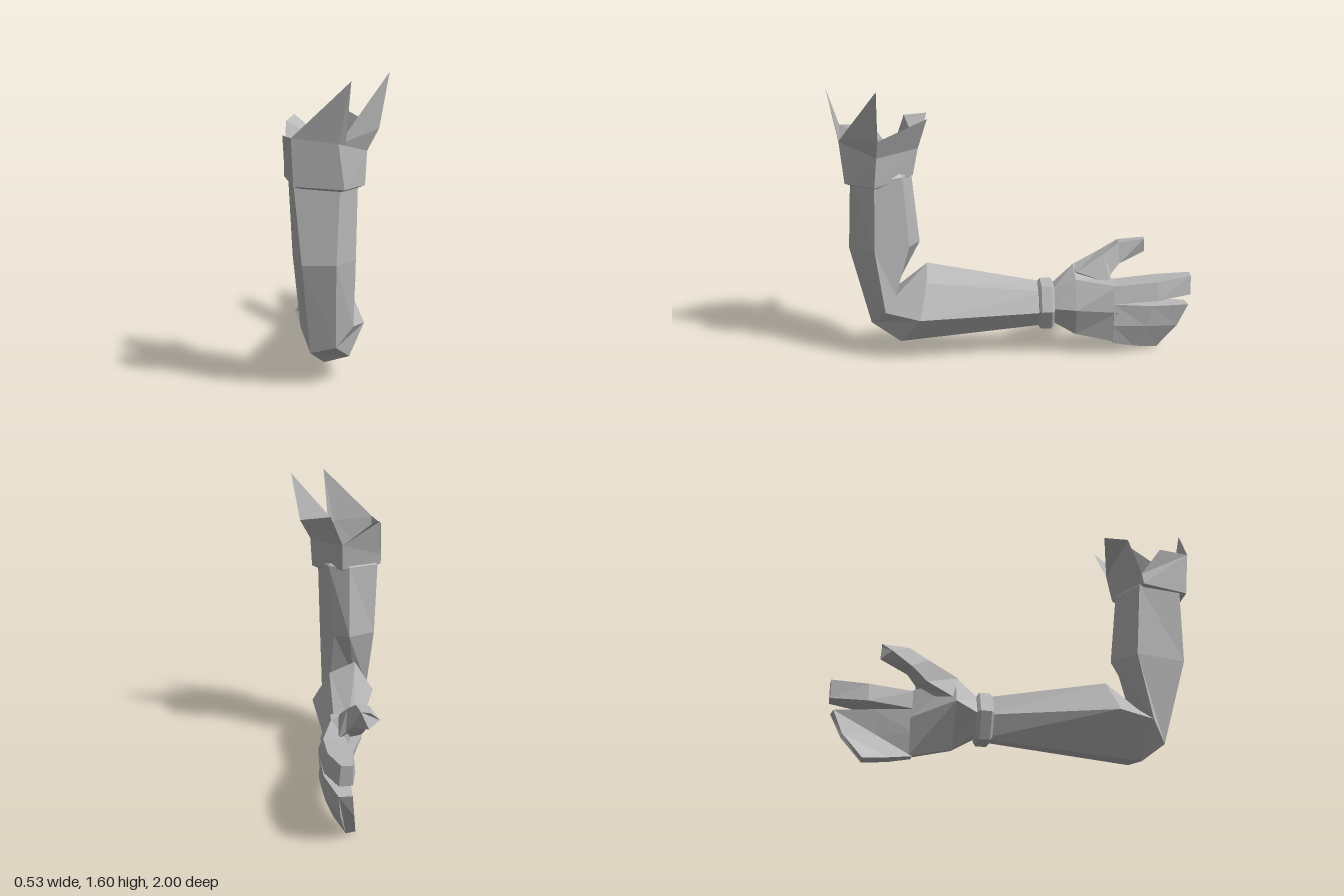
import * as THREE from 'three';

// Flat-shaded geometry from a list of triangles
function facets(tris) {
  const g = new THREE.BufferGeometry();
  g.setAttribute('position', new THREE.Float32BufferAttribute(tris.flat(2), 3));
  g.computeVertexNormals();
  return g;
}

// Closed skin through cross-sections, each a loop of [x, y, z]; always faces outward
function loft(rings) {
  const tris = [];
  const n = rings[0].length;
  for (let r = 0; r < rings.length - 1; r++) {
    for (let i = 0; i < n; i++) {
      const j = (i + 1) % n;
      const a = rings[r][i], b = rings[r][j], c = rings[r + 1][j], d = rings[r + 1][i];
      tris.push([a, b, c], [a, c, d]);
    }
  }
  const first = rings[0], last = rings[rings.length - 1];
  for (let i = 1; i < n - 1; i++) {
    tris.push([first[0], first[i + 1], first[i]], [last[0], last[i], last[i + 1]]);
  }
  let volume = 0;
  for (const [a, b, c] of tris) {
    volume += new THREE.Vector3(...a).dot(new THREE.Vector3(...b).cross(new THREE.Vector3(...c)));
  }
  return facets(volume < 0 ? tris.map(([a, b, c]) => [a, c, b]) : tris);
}

const atY = (y, pts) => pts.map(([x, z]) => [x, y, z]);
const atZ = (z, pts) => pts.map(([x, y]) => [x, y, z]);

export function createModel() {
  const group = new THREE.Group();
  const grey = new THREE.MeshStandardMaterial({ color: 0xb8b8b8, flatShading: true });
  grey.name = 'grey';
  const greySheet = new THREE.MeshStandardMaterial({ color: 0xb8b8b8, flatShading: true, side: THREE.DoubleSide });
  greySheet.name = 'grey sheet';
  const add = (name, geometry, material = grey) => {
    const mesh = new THREE.Mesh(geometry, material);
    mesh.name = name;
    group.add(mesh);
  };

  // Bent arm: six-sided sections from shoulder, round the elbow, to the wrist
  const shoulder = [[0.02, 0.89], [0.11, 0.76], [0.05, 0.61], [-0.07, 0.56], [-0.24, 0.65], [-0.21, 0.89]];
  const wrist = [[0.04, 0.19], [0.09, 0.28], [0.04, 0.385], [-0.04, 0.41], [-0.07, 0.3], [-0.03, 0.18]];
  add('arm', loft([
    atY(1.16, shoulder.map(([x, z]) => [-0.05 + (x + 0.05) * 0.4, 0.73 + (z - 0.73) * 0.4])),
    atY(1.08, shoulder),
    atY(0.67, [[0, 0.91], [0.1, 0.77], [0.02, 0.58], [-0.07, 0.52], [-0.22, 0.63], [-0.17, 0.91]]),
    [[0, 0.22, 0.8], [0.09, 0.31, 0.72], [0.04, 0.39, 0.66], [-0.1, 0.39, 0.66], [-0.18, 0.31, 0.72], [-0.13, 0.19, 0.79]],
    [[0.07, 0.13, 0.64], [0.15, 0.28, 0.53], [0.05, 0.46, 0.49], [-0.1, 0.53, 0.48], [-0.21, 0.34, 0.53], [-0.06, 0.11, 0.68]],
    atZ(-0.2, wrist),
  ]));

  // Bevelled wrist band
  const band = [[0.06, 0.17], [0.115, 0.29], [0.06, 0.425], [-0.05, 0.435], [-0.11, 0.31], [-0.05, 0.17]];
  const bandRing = (z, s) => atZ(z, band.map(([x, y]) => [x * s, 0.3 + (y - 0.3) * s]));
  add('wristBand', loft([bandRing(-0.135, 0.87), bandRing(-0.15, 1), bandRing(-0.208, 1), bandRing(-0.223, 0.87)]));

  // Hand
  add('palm', loft([
    atZ(-0.21, [[0.05, 0.21], [0.09, 0.3], [0.04, 0.39], [-0.04, 0.4], [-0.08, 0.3], [-0.03, 0.21]]),
    atZ(-0.34, [[0.08, 0.14], [0.13, 0.3], [0.06, 0.46], [-0.06, 0.51], [-0.1, 0.36], [0.03, 0.13]]),
    atZ(-0.57, [[0.1, 0.09], [0.13, 0.28], [0.11, 0.43], [-0.01, 0.43], [-0.01, 0.28], [0.04, 0.08]]),
  ]));
  add('thumb', loft([
    [[0.02, 0.49, -0.35], [-0.07, 0.5, -0.33], [-0.1, 0.38, -0.36], [0.03, 0.42, -0.54]],
    [[-0.02, 0.58, -0.51], [-0.11, 0.575, -0.5], [-0.11, 0.45, -0.5], [-0.01, 0.46, -0.55]],
    [[-0.06, 0.63, -0.6], [-0.13, 0.625, -0.6], [-0.14, 0.52, -0.59], [-0.04, 0.51, -0.6]],
    [[-0.08, 0.64, -0.745], [-0.13, 0.635, -0.75], [-0.18, 0.58, -0.7], [-0.12, 0.55, -0.755]],
  ]));
  add('indexFinger', loft([
    atZ(-0.55, [[0.11, 0.43], [-0.01, 0.43], [-0.01, 0.33], [0.13, 0.33]]),
    atZ(-0.8, [[0.09, 0.44], [-0.04, 0.44], [-0.05, 0.34], [0.11, 0.335]]),
    atZ(-1, [[0.03, 0.45], [-0.03, 0.45], [-0.03, 0.345], [0.04, 0.34]]),
  ]));
  add('curledFingers', loft([
    atZ(-0.55, [[0.13, 0.33], [0.13, 0.2], [0.1, 0.085], [0.04, 0.08], [0.01, 0.2], [-0.01, 0.33]]),
    [[0.11, 0.305, -0.77], [0.1, 0.18, -0.74], [0.06, 0.045, -0.68], [0, 0.05, -0.68], [0.01, 0.17, -0.74], [-0.02, 0.305, -0.77]],
    [[0.04, 0.28, -0.99], [0.03, 0.15, -0.93], [0, 0.01, -0.82], [-0.05, 0.02, -0.82], [-0.04, 0.15, -0.93], [-0.03, 0.28, -0.98]],
  ]));

  // Torn sleeve cuff: five panels, a turned-in hem, and jagged points above
  const low = [[0.04, 1.05, 0.92], [0.145, 1.05, 0.76], [-0.03, 1.07, 0.55], [-0.26, 1.08, 0.67], [-0.21, 1.07, 0.93]];
  const mid = [[0.01, 1.28, 0.945], [0.155, 1.22, 0.745], [-0.03, 1.22, 0.52], [-0.26, 1.14, 0.66], [-0.22, 1.31, 0.945]];
  const hem = low.map(([x, y, z]) => [-0.05 + (x + 0.05) * 0.82, y - 0.015, 0.74 + (z - 0.74) * 0.82]);
  const cuff = [];
  const quad = (a, b, c, d) => cuff.push([a, b, c], [a, c, d]);
  for (let i = 0; i < 5; i++) {
    const j = (i + 1) % 5;
    quad(low[i], low[j], mid[j], mid[i]);
    quad(hem[i], hem[j], low[j], low[i]);
  }
  const sideTop = [0.215, 1.33, 0.735];
  cuff.push([mid[4], mid[0], [0.07, 1.59, 1]], [mid[0], [0.045, 1.28, 0.94], [0.07, 1.59, 1]]);
  quad(mid[0], mid[1], sideTop, [0.265, 1.61, 0.735]);
  quad(mid[1], mid[2], [0.04, 1.4, 0.47], sideTop);
  quad(mid[2], mid[3], [-0.25, 1.35, 0.59], [-0.21, 1.37, 0.465]);
  cuff.push([mid[3], mid[4], [-0.265, 1.3, 0.77]]);
  add('tornCuff', facets(cuff), greySheet);

  return group;
}
